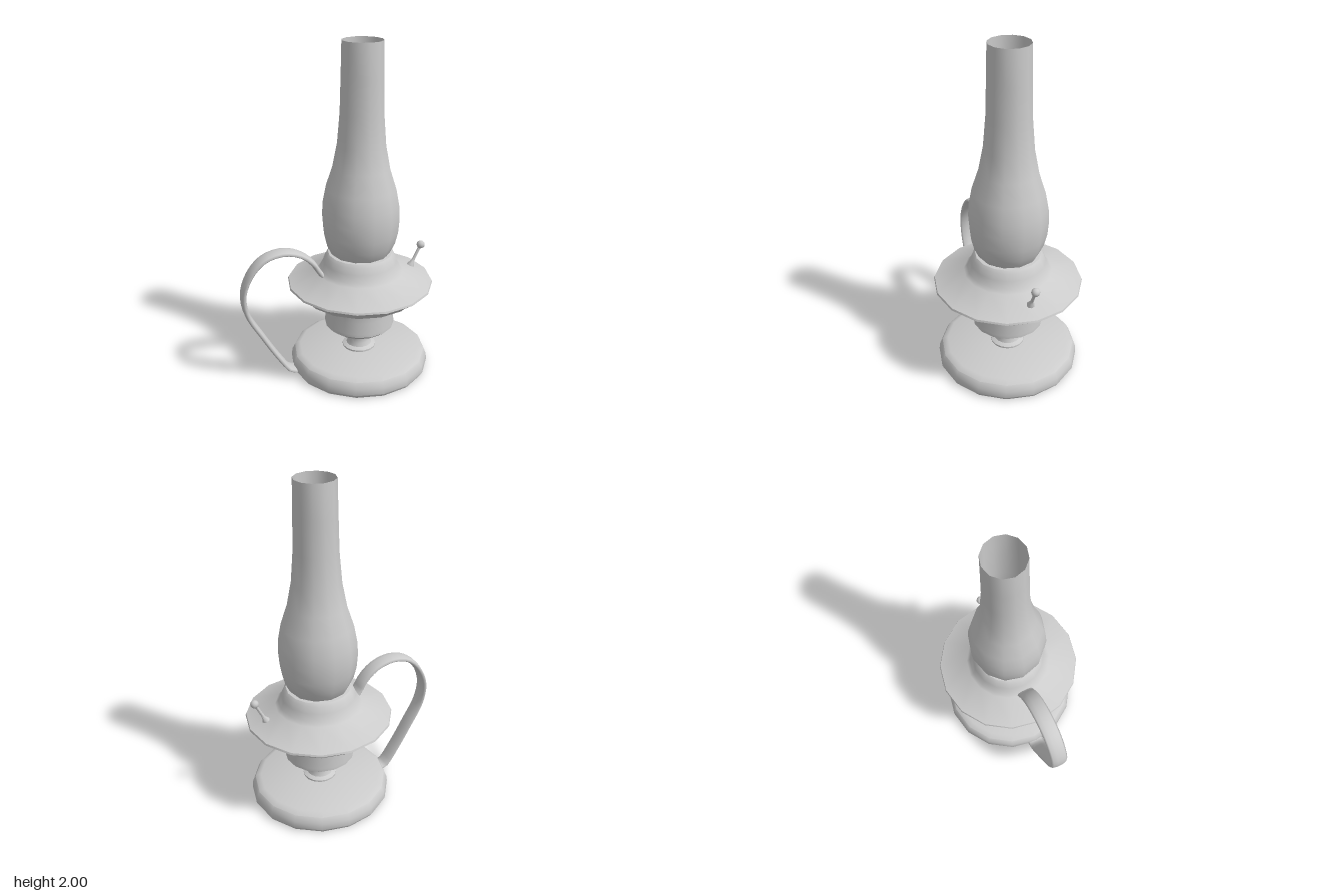
import * as THREE from 'three';
import { toCreasedNormals } from 'three/addons/utils/BufferGeometryUtils.js';

const AXIS_X = 0.147; // the lamp body stands off-centre, balanced by the handle

const grey = new THREE.MeshStandardMaterial({ color: 0xcccccc });
const greyDouble = new THREE.MeshStandardMaterial({ color: 0xcccccc, side: THREE.DoubleSide });

function addMesh(parent, name, geometry, material = grey) {
  const mesh = new THREE.Mesh(geometry, material);
  mesh.name = name;
  parent.add(mesh);
  return mesh;
}

// Turned part from [radius, y] pairs, listed from the bottom up
function turned(profile, sides, crease = 0.7) {
  const points = profile.map(([r, y]) => new THREE.Vector2(r, y));
  return toCreasedNormals(new THREE.LatheGeometry(points, sides), crease);
}

export function createModel() {
  const lamp = new THREE.Group();
  lamp.name = 'oilLamp';

  const body = new THREE.Group();
  body.name = 'body';
  body.position.x = AXIS_X;
  lamp.add(body);

  // Round foot
  addMesh(body, 'base', turned([
    [0, 0], [0.415, 0], [0.427, 0.02], [0.422, 0.06], [0.405, 0.095], [0.37, 0.112], [0, 0.112],
  ], 16));

  // Waisted stem between foot and reservoir
  addMesh(body, 'stem', turned([
    [0.102, 0.105], [0.102, 0.122], [0.078, 0.133], [0.068, 0.155], [0.066, 0.19],
    [0.075, 0.222], [0.1, 0.23], [0.104, 0.25],
  ], 16));

  // Oil reservoir
  addMesh(body, 'reservoir', turned([
    [0, 0.236], [0.1, 0.238], [0.175, 0.25], [0.212, 0.28], [0.212, 0.3], [0.204, 0.37],
    [0.207, 0.43], [0.216, 0.5],
  ], 16));

  // Wide brim rising to the chimney seat
  addMesh(body, 'collar', turned([
    [0, 0.492], [0.352, 0.492], [0.367, 0.512], [0.438, 0.563], [0.434, 0.574], [0.26, 0.638],
    [0.24, 0.66], [0.222, 0.7], [0.208, 0.738], [0.193, 0.755], [0.172, 0.757], [0.168, 0.74],
    [0, 0.74],
  ], 16));

  // Wick inside the chimney
  const wick = addMesh(body, 'wick', turned([
    [0.012, 0.735], [0.02, 0.78], [0.012, 0.82], [0, 0.86],
  ], 8));
  wick.scale.z = 0.4;

  // Open glass chimney
  addMesh(body, 'chimney', turned([
    [0.168, 0.745], [0.184, 0.77], [0.207, 0.82], [0.224, 0.89], [0.231, 0.98], [0.226, 1.06],
    [0.207, 1.16], [0.168, 1.28], [0.141, 1.42], [0.126, 1.6], [0.121, 1.8], [0.117, 2.0],
  ], 12), greyDouble);

  // Wick adjuster: flared pin with a ball on its tip
  const adjuster = new THREE.Group();
  adjuster.name = 'wickAdjuster';
  adjuster.position.set(0.48, 0.602, 0);
  adjuster.rotation.z = -0.45;
  lamp.add(adjuster);
  addMesh(adjuster, 'adjusterPin', turned([
    [0.024, 0], [0.022, 0.015], [0.012, 0.032], [0.009, 0.06], [0.009, 0.14],
  ], 8, 1));
  const ball = addMesh(adjuster, 'adjusterBall', new THREE.SphereGeometry(0.025, 10, 8));
  ball.position.y = 0.152;

  // Looped strap handle: a tube widened sideways
  const path = new THREE.CatmullRomCurve3([
    [-0.075, 0.62], [-0.11, 0.655], [-0.145, 0.715], [-0.205, 0.775], [-0.28, 0.81],
    [-0.36, 0.817], [-0.45, 0.788], [-0.525, 0.71], [-0.572, 0.59], [-0.558, 0.46],
    [-0.47, 0.29], [-0.38, 0.135], [-0.31, 0.035], [-0.285, 0.024], [-0.24, 0.024],
  ].map(([x, y]) => new THREE.Vector3(x, y, 0)));
  const strap = new THREE.TubeGeometry(path, 36, 0.016, 10);
  strap.scale(1, 1, 3.3);
  addMesh(lamp, 'handle', strap, greyDouble);

  return lamp;
}
